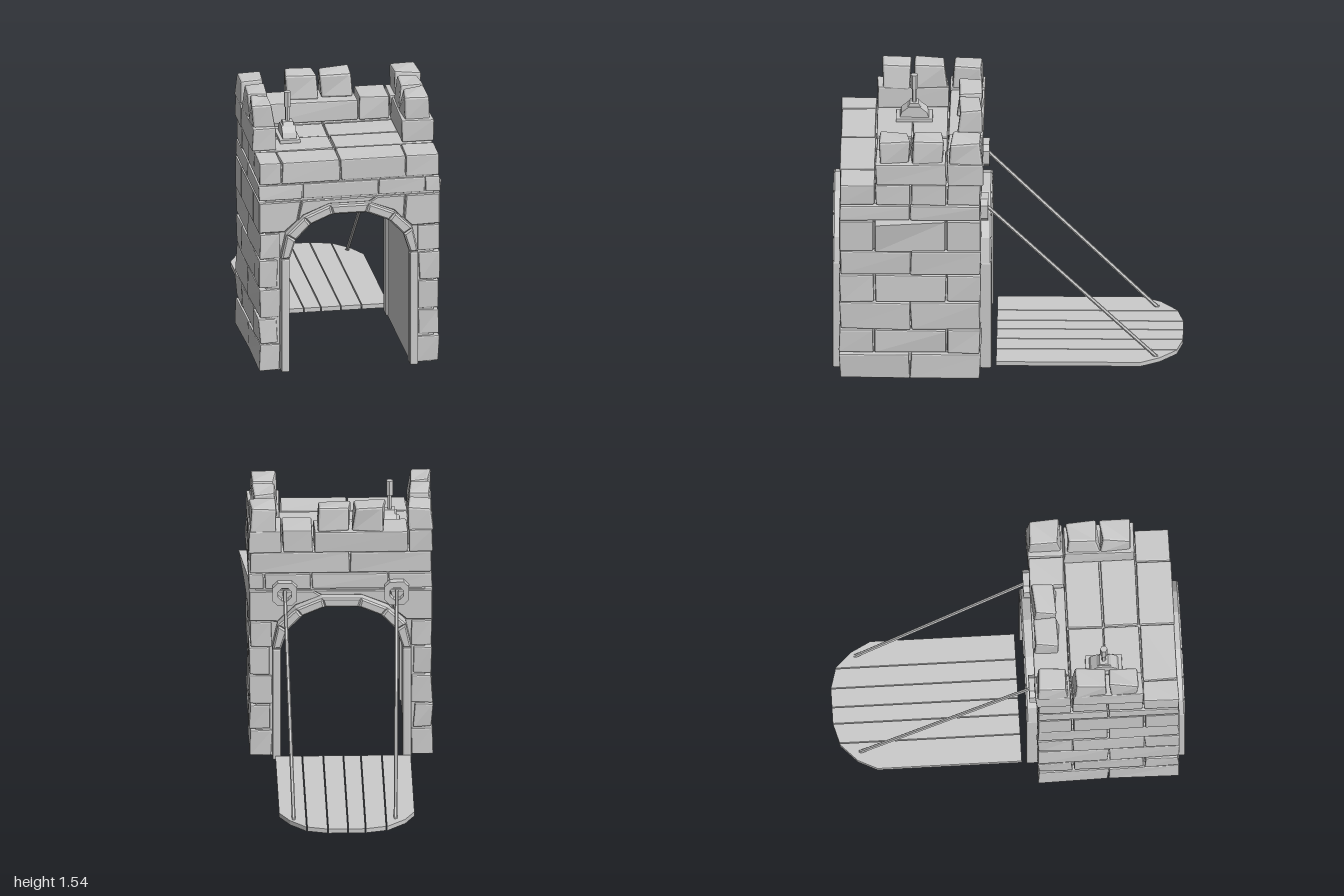
import * as THREE from 'three';
import { RoundedBoxGeometry } from 'three/addons/geometries/RoundedBoxGeometry.js';

const mat = new THREE.MeshStandardMaterial({ color: 0xcccccc, flatShading: true, side: THREE.DoubleSide });
const CX = -0.0225; // centre line of the arch

let seed = 7;
const rnd = () => (seed = (seed * 16807) % 2147483647) / 2147483647 - 0.5;

function add(parent, name, geo) {
  const m = new THREE.Mesh(geo, mat);
  m.name = name;
  parent.add(m);
  return m;
}

// chamfered block between two corners; each of its 8 corners is nudged a little
function block(parent, name, x0, x1, y0, y1, z0, z1, wobble = 0.012, chamfer = 0.008, rule) {
  const w = x1 - x0, h = y1 - y0, d = z1 - z0;
  const geo = new RoundedBoxGeometry(w, h, d, 1, chamfer);
  const nudge = Array.from({ length: 8 }, () => [rnd() * wobble, rnd() * wobble * 0.6, rnd() * wobble]);
  const p = geo.attributes.position;
  for (let i = 0; i < p.count; i++) {
    const v = [p.getX(i), p.getY(i), p.getZ(i)];
    const k = (v[0] > 0 ? 1 : 0) + (v[1] > 0 ? 2 : 0) + (v[2] > 0 ? 4 : 0);
    const q = v.map((c, a) => c + nudge[k][a]);
    if (rule) rule(q, v);
    p.setXYZ(i, q[0] + (x0 + x1) / 2, q[1] + (y0 + y1) / 2, q[2] + (z0 + z1) / 2);
  }
  geo.computeVertexNormals();
  return add(parent, name, geo);
}

const toShape = pts => new THREE.Shape(pts.map(([x, y]) => new THREE.Vector2(x, y)));

// outline extruded from z0 to z1 with a small bevel
function slab(parent, name, pts, z0, z1, b = 0.006) {
  const geo = new THREE.ExtrudeGeometry(toShape(pts), {
    depth: z1 - z0 - 2 * b, bevelEnabled: b > 0, bevelSize: b, bevelOffset: -b, bevelThickness: b, bevelSegments: 1,
  });
  geo.translate(0, 0, z0 + b);
  return add(parent, name, geo);
}

const mirror = pts => [...pts, ...pts.map(([x, y]) => [2 * CX - x, y]).reverse()];
const inner = mirror([[-0.37, 0.69], [-0.335, 0.80], [-0.25, 0.89], [-0.12, 0.945]]);
const outer = mirror([[-0.42, 0.69], [-0.388, 0.835], [-0.285, 0.935], [-0.135, 1.0]]);

function buildWalls(root) {
  const g = new THREE.Group();
  g.name = 'walls';
  root.add(g);

  // solid core with the arched passage
  const arch = inner.map(([x, y]) => [x + Math.sign(x - CX) * 0.012, y + (y > 0.7 ? 0.012 : 0)]);
  const core = [[-0.5, 0], [arch[0][0], 0], ...arch, [arch[7][0], 0], [0.47, 0], [0.47, 1.24], [-0.5, 1.24]];
  slab(g, 'passageCore', core, 0.17, 0.945, 0);

  // side courses with alternating joints
  const rows = [0, 0.165, 0.32, 0.5, 0.675, 0.835];
  for (let r = 0; r < 5; r++) {
    const zs = r % 2 ? [0.15, 0.35, 0.76, 0.96] : [0.15, 0.555, 0.96];
    for (let k = 0; k < zs.length - 1; k++) {
      const y0 = rows[r] + (r ? 0.004 : 0), y1 = rows[r + 1] - 0.004;
      block(g, 'sideBrickRight', -0.54, r % 2 ? -0.435 : -0.42, y0, y1, zs[k] + 0.003, zs[k + 1] - 0.003);
      block(g, 'sideBrickLeft', r % 2 ? 0.385 : 0.375, 0.503, y0, y1, zs[k] + 0.003, zs[k + 1] - 0.003);
    }
  }

  // course around the top of the arch
  const spandrels = [
    [[-0.542, 0.84], [-0.395, 0.84], [-0.32, 0.905], [-0.298, 1.025], [-0.542, 1.025]],
    [[-0.316, 0.905], [-0.285, 0.935], [-0.135, 0.995], [0.09, 0.995], [0.14, 1.025], [-0.292, 1.025]],
    [[0.094, 0.993], [0.24, 0.935], [0.295, 0.88], [0.305, 1.025], [0.146, 1.025]],
    [[0.3, 0.88], [0.343, 0.835], [0.507, 0.84], [0.507, 1.025], [0.31, 1.025]],
  ];
  for (const [z0, z1] of [[0.15, 0.347], [0.353, 0.757], [0.763, 0.96]])
    spandrels.forEach((s, i) => {
      const m = slab(g, 'spandrelStone', s, z0, z1);
      if (i < 3 || z0 !== 0.353) return;
      // one stone leans outwards towards its top front corner
      const p = m.geometry.attributes.position;
      for (let k = 0; k < p.count; k++)
        if (p.getX(k) > 0.45) p.setX(k, p.getX(k) + 0.045 * (p.getZ(k) - z0) / (z1 - z0) * (p.getY(k) > 0.95 ? 1 : 0.3));
    });

  // full courses over the arch; the upper one is also the floor of the roof
  const grid = (name, xs, zs, y0, y1) => {
    for (let i = 0; i < xs.length - 1; i++)
      for (let k = 0; k < zs.length - 1; k++)
        block(g, name, xs[i] + 0.003, xs[i + 1] - 0.003, y0, y1, zs[k] + 0.003, zs[k + 1] - 0.003, 0.007);
  };
  grid('archCourse', [-0.545, -0.29, 0.15, 0.42, 0.51], [0.15, 0.555, 0.96], 1.035, 1.127);
  grid('roofCourse', [-0.54, -0.41, -0.07, 0.31, 0.505], [0.755, 0.96], 1.133, 1.262);
  grid('roofCourse', [-0.54, -0.07, 0.505], [0.15, 0.345, 0.55, 0.755], 1.133, 1.262);
}

function buildBattlements(root) {
  const g = new THREE.Group();
  g.name = 'battlements';
  root.add(g);
  // parapet
  const xs = [-0.545, -0.405, 0.14, 0.32, 0.515];
  for (let i = 0; i < 4; i++) block(g, 'backParapet', xs[i] + 0.004, xs[i + 1] - 0.004, 1.265, i === 1 ? 1.39 : 1.402, 0.14, 0.34, 0.01);
  block(g, 'rightParapet', -0.545, -0.41, 1.265, 1.4, 0.348, 0.75);
  block(g, 'leftParapet', 0.325, 0.505, 1.265, 1.4, 0.348, 0.75);
  // merlons, narrowing slightly upwards
  const taper = (q, v) => { if (v[1] > 0) { q[0] *= 0.95; q[2] *= 0.95; } };
  for (const [x0, x1, z0, z1] of [
    [-0.54, -0.405, 0.15, 0.325], [-0.272, -0.09, 0.15, 0.285], [-0.072, 0.112, 0.15, 0.285], [0.345, 0.5, 0.15, 0.325],
    [-0.54, -0.415, 0.36, 0.545], [-0.54, -0.415, 0.56, 0.73], [0.345, 0.48, 0.36, 0.545], [0.345, 0.48, 0.56, 0.73],
  ]) block(g, 'merlon', x0, x1, 1.385, 1.535, z0, z1, 0.022, 0.013, taper);
}

function buildArchTrim(root, name, z0, z1) {
  const g = new THREE.Group();
  g.name = name;
  root.add(g);
  for (let i = 0; i < 7; i++) slab(g, 'archStone', [inner[i], inner[i + 1], outer[i + 1], outer[i]], z0, z1, 0.01);
  block(g, 'rightJamb', -0.42, -0.37, 0, 0.69, z0, z1, 0, 0.01);
  block(g, 'leftJamb', 0.325, 0.375, 0, 0.69, z0, z1, 0, 0.01);
}

function buildDrawbridge(root) {
  const g = new THREE.Group();
  g.name = 'drawbridge';
  root.add(g);
  // rounded far end, as depth over x
  const edge = [[-0.415, 0.76], [-0.36, 0.87], [-0.26, 0.965], [-0.13, 1], [0.085, 1], [0.21, 0.965], [0.3, 0.87], [0.358, 0.76]];
  const depthAt = x => {
    const i = Math.max(1, edge.findIndex(e => e[0] >= x - 1e-6));
    const [a, b] = [edge[i - 1], edge[i]];
    return a[1] + (b[1] - a[1]) * (x - a[0]) / (b[0] - a[0]);
  };
  const joints = [-0.415, -0.25, -0.13, -0.03, 0.085, 0.205, 0.358];
  for (let i = 0; i < 6; i++) {
    const a = joints[i] + (i ? 0.003 : 0), b = joints[i + 1] - (i < 5 ? 0.003 : 0);
    const far = [a, ...edge.map(e => e[0]).filter(x => x > a && x < b), b].map(x => [x, depthAt(x)]);
    const m = slab(g, 'plank', [[b, -0.065], [a, -0.065], ...far], 0, 0.026, 0);
    m.rotation.x = -Math.PI / 2;
    m.position.y = 0.01;
  }

  // ropes and their wall rings
  for (const [x0, x1] of [[-0.337, -0.305], [0.303, 0.277]]) {
    const a = new THREE.Vector3(x0, 1.035, 0.13), b = new THREE.Vector3(x1, 0.03, -0.85);
    add(g, 'rope', new THREE.TubeGeometry(new THREE.LineCurve3(a, b), 1, 0.011, 6));
    add(g, 'ropeEnd', new THREE.SphereGeometry(0.014, 6, 4)).position.copy(b);
    const oct = (r, c) => [[-c, -r], [c, -r], [r, -c], [r, c], [c, r], [-c, r], [-r, c], [-r, -c]];
    const s = toShape(oct(0.07, 0.04));
    s.holes.push(toShape(oct(0.038, 0.018)));
    const ring = add(g, 'ropeRing', new THREE.ExtrudeGeometry(s, { depth: 0.045, bevelEnabled: false }));
    ring.position.set(x0, 1.02, 0.11);
  }
}

function buildLever(root) {
  const g = new THREE.Group();
  g.name = 'lever';
  g.position.set(-0.307, 1.26, 0.54);
  root.add(g);
  block(g, 'leverBase', -0.06, 0.06, 0, 0.022, -0.105, 0.105, 0, 0.004);
  // half drum lying across the base
  const half = (r, h) => [[-r, 0], [-r * 0.85, h * 0.55], [-r * 0.4, h], [r * 0.4, h], [r * 0.85, h * 0.55], [r, 0]].reverse();
  for (const [r, h, w] of [[0.085, 0.07, 0.08], [0.06, 0.09, 0.06]]) {
    const m = slab(g, 'leverDrum', half(r, h), -w / 2, w / 2, 0);
    m.rotation.y = Math.PI / 2;
    m.position.y = 0.015;
  }
  add(g, 'leverRod', new THREE.CylinderGeometry(0.013, 0.013, 0.12, 6)).position.y = 0.15;
  add(g, 'leverGrip', new THREE.CylinderGeometry(0.021, 0.021, 0.09, 6)).position.y = 0.235;
}

export function createModel() {
  const root = new THREE.Group();
  root.name = 'gatehouse';
  buildWalls(root);
  buildBattlements(root);
  buildArchTrim(root, 'frontArchTrim', 0.93, 1.0);
  buildArchTrim(root, 'backArchTrim', 0.09, 0.18);
  buildDrawbridge(root);
  buildLever(root);
  return root;
}
